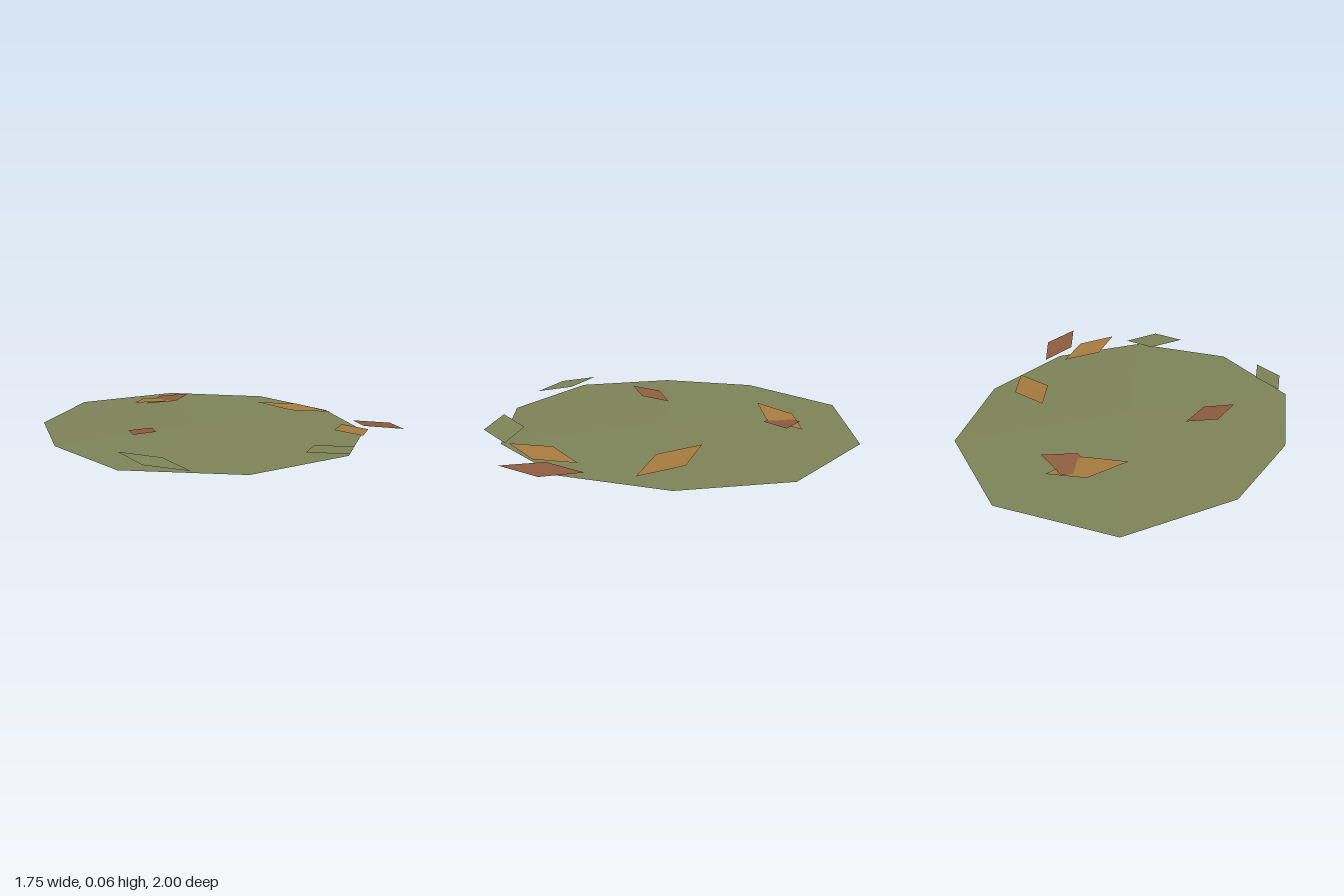
import * as THREE from 'three';

// Fan of flat facets from a centre point; rim points [x, y, z] run clockwise seen from above.
function fan(centre, rim) {
  const pos = [];
  rim.forEach((p, i) => pos.push(...centre, ...rim[(i + 1) % rim.length], ...p));
  const geometry = new THREE.BufferGeometry();
  geometry.setAttribute('position', new THREE.Float32BufferAttribute(pos, 3));
  geometry.computeVertexNormals();
  return geometry;
}

function material(name, color) {
  const m = new THREE.MeshStandardMaterial({ color, side: THREE.DoubleSide });
  m.name = name;
  return m;
}

export function createModel() {
  const group = new THREE.Group();
  group.name = 'leafLitterPatch';
  const green = material('mossGreen', 0x7e8458);
  const orange = material('autumnOrange', 0xa87c40);
  const brown = material('russetBrown', 0x8e5d40);

  const add = (name, geometry, mat) => {
    const mesh = new THREE.Mesh(geometry, mat);
    mesh.name = name;
    group.add(mesh);
  };

  // Shallow ten-sided mound of ground, [x, z] corners
  const outline = [
    [-0.33, -1], [0.315, -1], [0.785, -0.58], [0.875, 0], [0.695, 0.545],
    [0.28, 0.895], [-0.31, 0.915], [-0.78, 0.555], [-0.88, 0], [-0.755, -0.545],
  ];
  add('groundPatch', fan([0, 0.02, 0], outline.map(([x, z]) => [x, 0, z])), green);

  // Tilted diamond leaves: raised tip, side, lowered tip, side as [x, z]
  const tipHeights = [0.064, 0.047, 0.03, 0.047];
  const leaves = [
    ['backOrangeLeaf', orange, [[-0.19, -0.52], [-0.04, -0.7], [0.175, -0.72], [0.055, -0.54]]],
    ['backBrownLeaf', brown, [[0.245, -0.62], [0.09, -0.52], [-0.065, -0.62], [0.09, -0.72]]],
    ['leftOrangeLeaf', orange, [[0.47, -0.155], [0.695, -0.065], [0.78, 0.17], [0.55, 0.075]]],
    ['rightBrownLeaf', brown, [[-0.545, 0.22], [-0.495, 0.055], [-0.33, 0], [-0.385, 0.16]]],
    ['rightGreenLeaf', green, [[-0.745, 0.48], [-0.585, 0.615], [-0.55, 0.82], [-0.715, 0.685]]],
    ['frontGreenLeaf', green, [[-0.01, 0.93], [0.15, 0.79], [0.345, 0.86], [0.19, 1]]],
    ['frontOrangeLeaf', orange, [[0.435, 0.82], [0.44, 0.595], [0.615, 0.455], [0.605, 0.675]]],
    ['frontBrownLeaf', brown, [[0.72, 0.815], [0.64, 0.605], [0.73, 0.41], [0.815, 0.615]]],
  ];
  for (const [name, mat, corners] of leaves) {
    const rim = corners.map(([x, z], i) => [x, tipHeights[i], z]);
    const centre = [0, 1, 2].map((k) => rim.reduce((s, p) => s + p[k] / 4, 0));
    add(name, fan(centre, rim), mat);
  }
  return group;
}
